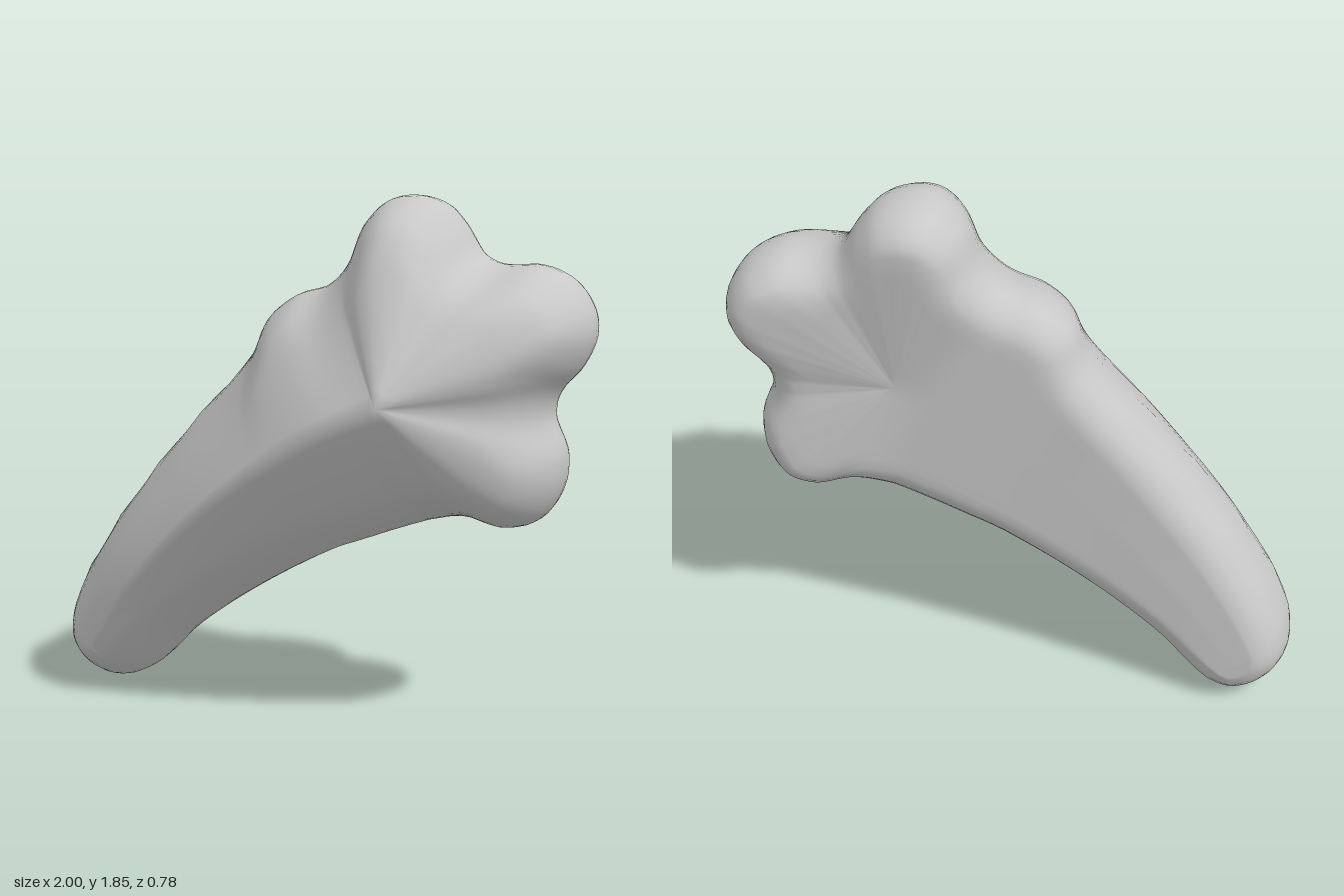
import * as THREE from 'three';
import { mergeVertices } from 'three/addons/utils/BufferGeometryUtils.js';

const SUB = 5;         // steps between outline points
const MIDDLE = -0.17;  // depth of the outline
const { lerp } = THREE.MathUtils;

// Front ridge of the limb, from the thin end to the top of the paw
const ridge = new THREE.CatmullRomCurve3([
  [-0.8, 0.18, 0.13], [-0.6, 0.45, 0.215], [-0.4, 0.66, 0.275], [-0.2, 0.83, 0.325],
  [0, 0.97, 0.36], [0.2, 1.09, 0.385], [0.4, 1.18, 0.39],
].map((p) => new THREE.Vector3(...p)));
const backDepth = (u) => -0.31 - 0.08 * (1 - u) ** 2;

// Limb edge points: x, y and the place along the ridge they face (0 to 1)
const edge = (points, front) => points.map(([x, y, u]) => ({ x, y, u, front, back: backDepth(u) }));

// Paw points: the toes reach further back than the palm
const paw = (points) => points.map(([x, y]) => {
  const reach = Math.hypot(x - 0.4, y - 1.18);
  return { x, y, u: 1, front: 0.05, back: -0.31 - 0.28 * Math.max(0, reach - 0.38) };
});

// Outline, clockwise from the bottom of the thin end
const outline = [
  ...edge([[-0.8, 0, 0], [-0.92, 0.05, 0], [-0.99, 0.16, 0]], 0.03),
  // upper edge and thumb knob
  ...edge([[-0.97, 0.31, 0], [-0.78, 0.64, 0.2], [-0.5, 0.99, 0.4], [-0.24, 1.28, 0.6],
    [-0.18, 1.41, 0.7], [-0.08, 1.49, 0.8], [0.04, 1.53, 0.9]], 0.05),
  // top, side and bottom toes
  ...paw([[0.12, 1.61], [0.18, 1.75], [0.26, 1.83], [0.35, 1.85], [0.46, 1.82], [0.53, 1.75],
    [0.6, 1.65], [0.67, 1.62], [0.81, 1.62], [0.92, 1.57], [0.99, 1.47], [1, 1.38], [0.96, 1.28],
    [0.88, 1.18], [0.865, 1.1], [0.91, 0.97], [0.9, 0.85], [0.83, 0.74], [0.71, 0.7], [0.57, 0.73]]),
  // lower edge
  ...edge([[0.45, 0.71, 0.9], [0.33, 0.67, 0.8], [0.2, 0.62, 0.7], [0.05, 0.56, 0.6],
    [-0.25, 0.39, 0.4], [-0.5, 0.21, 0.2], [-0.68, 0.04, 0]], 0.01),
];
const curve = new THREE.CatmullRomCurve3(
  outline.map((o) => new THREE.Vector3(o.x, o.y, 0)), true);
const rim = curve.getPoints(800);

// Quarter-round rise from the outline inwards
const rise = (distance, radius) => Math.sqrt(1 - (1 - Math.min(distance / radius, 1)) ** 2);

// Half cross-section: from the flat back, round the edge, up to the ridge
function section(p, zFront, zBack, u) {
  const top = ridge.getPoint(u);
  const length = Math.hypot(top.x - p.x, top.y - p.y);
  const insets = [0.003, 0.012, 0.03, 0.055, 0.085, 0.12].map((d) => d / length);
  const last = insets.at(-1);
  for (let k = 1; k <= 8; k++) insets.push(lerp(last, 1, k / 8));
  const front = [], back = [];
  for (const s of insets) {
    const x = lerp(p.x, top.x, s), y = lerp(p.y, top.y, s);
    const distance = Math.min(...rim.map((r) => Math.hypot(r.x - x, r.y - y)));
    const slope = lerp(zFront, top.z, 1.25 * s - 0.25 * s * s);
    const flat = lerp(zBack, backDepth(u), s);
    front.push(new THREE.Vector3(x, y, lerp(MIDDLE, slope, rise(distance, 0.16))));
    back.unshift(new THREE.Vector3(x, y, lerp(MIDDLE, flat, rise(distance, 0.13))));
  }
  return [...back, new THREE.Vector3(p.x, p.y, MIDDLE), ...front];
}

// Join the half sections all the way round the outline
function limbGeometry() {
  const n = outline.length;
  const rings = [];
  for (let i = 0; i < n * SUB; i++) {
    const a = outline[Math.floor(i / SUB)], b = outline[(Math.floor(i / SUB) + 1) % n];
    const mix = (key) => lerp(a[key], b[key], (i % SUB) / SUB);
    rings.push(section(curve.getPoint(i / (n * SUB)), mix('front'), mix('back'), mix('u')));
  }
  const m = rings[0].length, index = [];
  rings.forEach((_, i) => {
    const r = i * m, s = ((i + 1) % rings.length) * m;
    for (let j = 0; j < m - 1; j++) {
      index.push(r + j, r + j + 1, s + j, r + j + 1, s + j + 1, s + j);
    }
  });
  const geo = new THREE.BufferGeometry().setFromPoints(rings.flat());
  geo.setIndex(index);
  const merged = mergeVertices(geo, 1e-4);
  merged.computeVertexNormals();
  return merged;
}

export function createModel() {
  const model = new THREE.Group();
  model.name = 'paw';
  const grey = new THREE.MeshStandardMaterial({ color: 0xc8c8c8 });
  grey.name = 'grey';
  const limb = new THREE.Mesh(limbGeometry(), grey);
  limb.name = 'limbWithToes';
  model.add(limb);
  return model;
}
